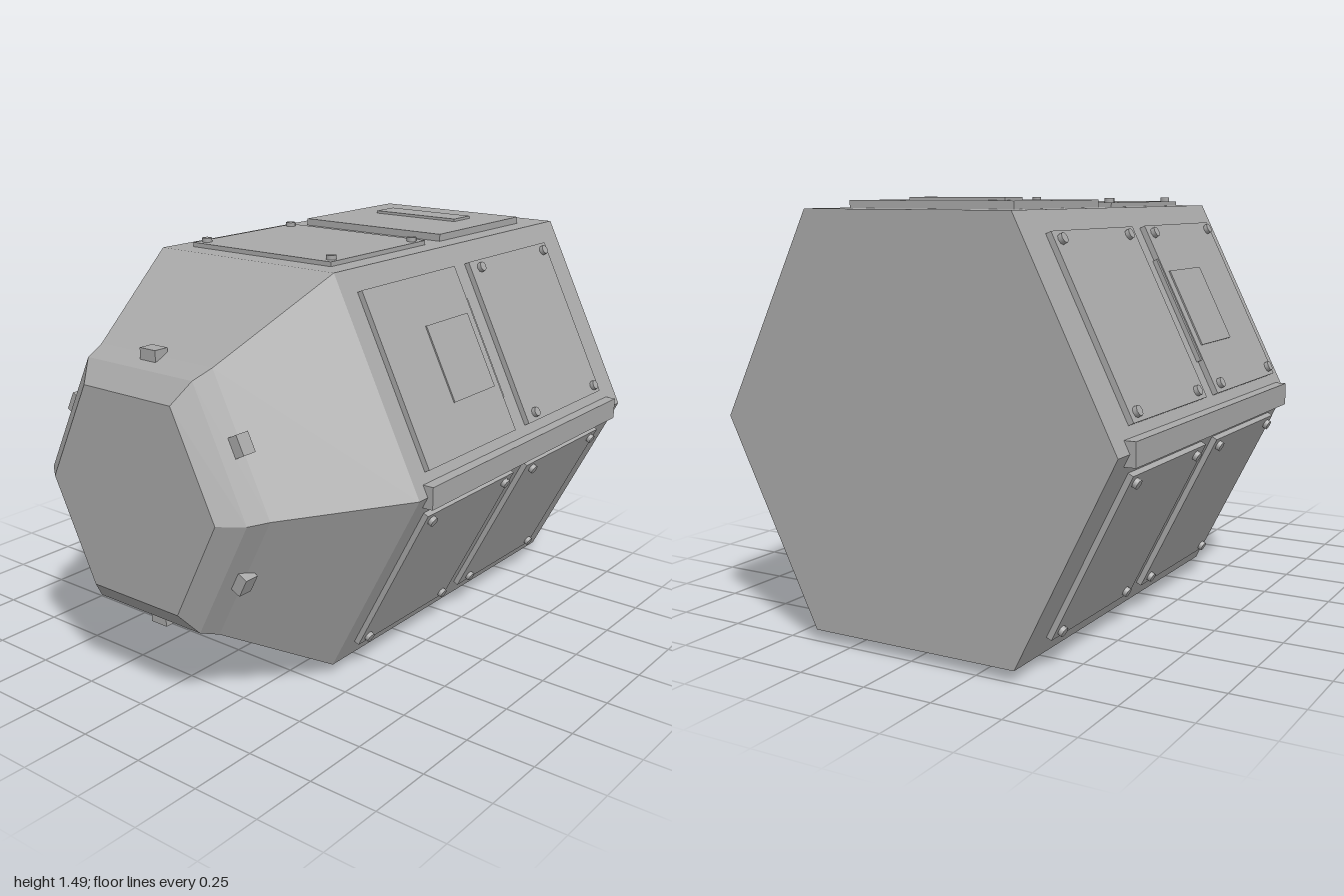
import * as THREE from 'three';

const CENTER_Y = 0.75;
// Full-size hexagon cross-section, counter-clockwise seen from the front
const HEX = [[0.745, 0], [0.39, 0.707], [-0.39, 0.707], [-0.745, 0], [-0.39, -0.707], [0.39, -0.707]];
// Hull sections from back to front: [z, scale]
const SECTIONS = [[-1, 1], [0.43, 1], [0.865, 0.648], [0.94, 0.607], [1, 0.502]];

function hullGeometry() {
  const positions = [];
  const point = (s, k) => {
    const [z, scale] = SECTIONS[s];
    const [x, y] = HEX[k % 6];
    return [x * scale, CENTER_Y + y * scale, z];
  };
  const last = SECTIONS.length - 1;
  for (let k = 0; k < 6; k++) {
    for (let s = 0; s < last; s++) {
      const a = point(s, k), b = point(s, k + 1), c = point(s + 1, k + 1), d = point(s + 1, k);
      positions.push(...a, ...b, ...c, ...a, ...c, ...d);
    }
    // End caps
    positions.push(0, CENTER_Y, -1, ...point(0, k + 1), ...point(0, k));
    positions.push(0, CENTER_Y, 1, ...point(last, k), ...point(last, k + 1));
  }
  const geometry = new THREE.BufferGeometry();
  geometry.setAttribute('position', new THREE.Float32BufferAttribute(positions, 3));
  geometry.computeVertexNormals();
  return geometry;
}

export function createModel() {
  const model = new THREE.Group();
  model.name = 'hexagonalPod';
  const grey = new THREE.MeshStandardMaterial({ color: 0xa8a8a8 });
  grey.name = 'hullGrey';

  const add = (parent, name, geometry, x, y, z) => {
    const mesh = new THREE.Mesh(geometry, grey);
    mesh.name = name;
    mesh.position.set(x, y, z);
    parent.add(mesh);
    return mesh;
  };
  // Plate lying on a face, sunk a little into it; top is its height above the face
  const plate = (face, name, halfWidth, z0, z1, top, base = -0.01) =>
    add(face, name, new THREE.BoxGeometry(halfWidth * 2, top - base, z1 - z0), 0, (top + base) / 2, (z0 + z1) / 2);

  add(model, 'hull', hullGeometry(), 0, 0, 0);

  const boltGeometry = new THREE.CylinderGeometry(0.018, 0.018, 0.022, 8);
  const bolts = (face, zs, height) => {
    for (const x of [-0.285, 0.285]) for (const z of zs) add(face, 'bolt', boltGeometry, x, height + 0.004, z);
  };

  // Panels per hull face, starting at the upper left face and going round over the top
  const faces = [
    { name: 'upperLeftFace', front: 0.02, back: 0.02, backBolts: true, hatch: true },
    { name: 'topFace', front: 0.016, back: 0.026, frontBolts: true, handle: true },
    { name: 'upperRightFace', front: 0.02, back: 0.02, frontBolts: true, backBolts: true, hatch: true },
    { name: 'lowerRightFace', front: 0.02, back: 0.02, frontBolts: true, backBolts: true },
    { name: 'bottomFace', front: 0.025, back: 0.012, frontBolts: true },
    { name: 'lowerLeftFace', front: 0.02, back: 0.02, frontBolts: true, backBolts: true },
  ];
  faces.forEach((f, k) => {
    const [ax, ay] = HEX[k], [bx, by] = HEX[(k + 1) % 6];
    const mx = (ax + bx) / 2, my = (ay + by) / 2;
    const angle = Math.atan2(by - ay, bx - ax) + Math.PI; // turns local +y to the outward normal

    const face = new THREE.Group();
    face.name = f.name;
    face.position.set(mx, CENTER_Y + my, 0);
    face.rotation.z = angle;
    model.add(face);

    plate(face, 'frontPanel', 0.315, -0.205, 0.35, f.front);
    plate(face, 'rearPanel', 0.315, -0.86, -0.3, f.back);
    if (f.frontBolts) bolts(face, [0.31, -0.16], f.front);
    if (f.backBolts) bolts(face, [-0.36, -0.82], f.back);
    if (f.handle) plate(face, 'topPlate', 0.187, -0.705, -0.595, f.back + 0.01, f.back - 0.005);
    if (f.hatch) {
      plate(face, 'hatchPlate', 0.14, -0.17, 0.09, f.front + 0.005, f.front - 0.004);
      plate(face, 'hatchTab', 0.19, -0.217, -0.15, f.front - 0.004);
    }

    // Small block on each slope of the nose
    const nub = add(model, 'noseBlock', new THREE.BoxGeometry(0.07, 0.045, 0.055),
      mx * 0.654, CENTER_Y + my * 0.654, 0.87);
    nub.rotation.z = angle;
  });

  // Rails along the two side edges
  for (const side of [-1, 1]) {
    add(model, side > 0 ? 'leftRail' : 'rightRail', new THREE.BoxGeometry(0.06, 0.08, 1.305),
      side * 0.735, CENTER_Y, -0.27);
  }
  return model;
}
